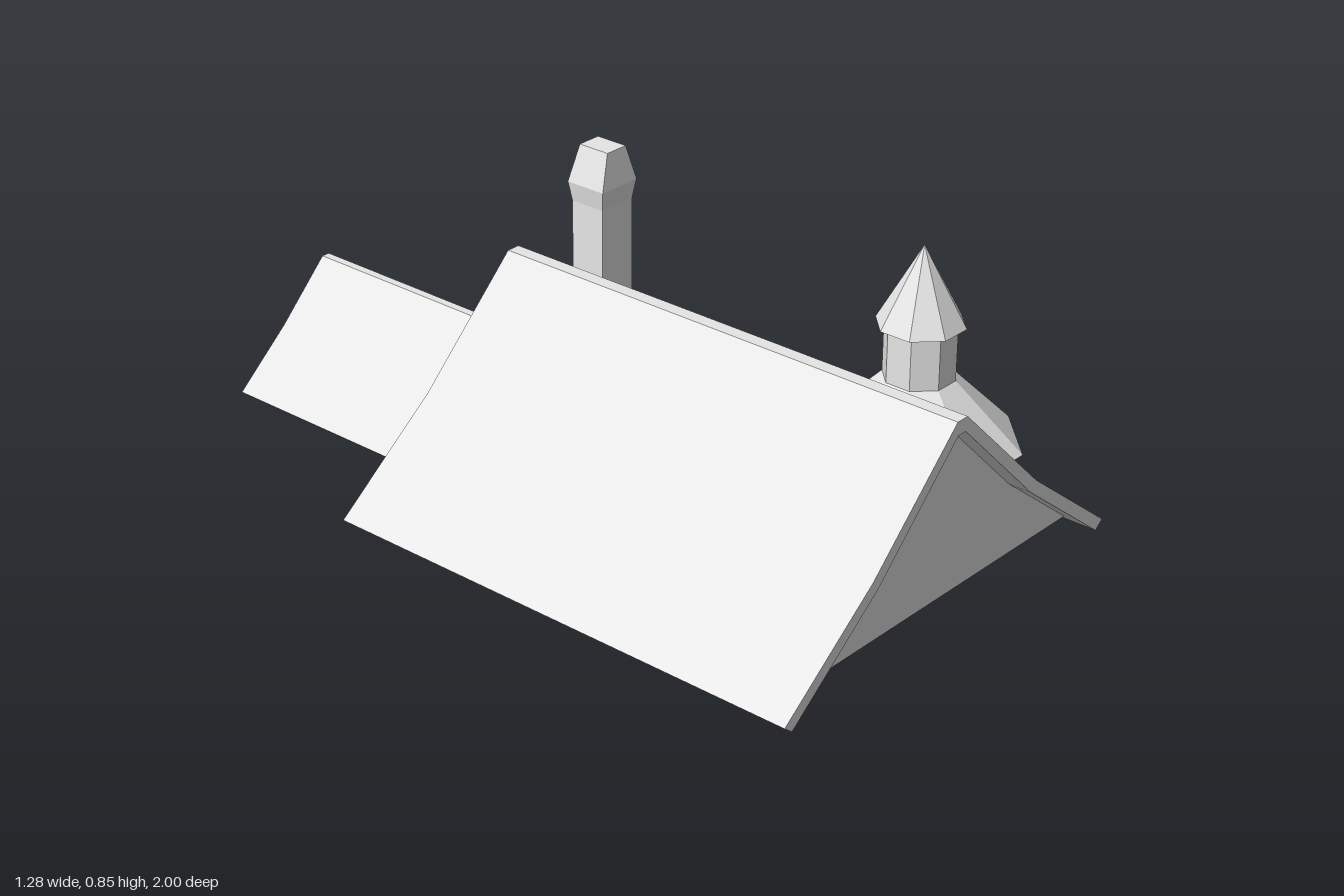
import * as THREE from 'three';

const RIDGE_X = -0.0465;
const TOWER = { x: 0.398, z: 0.56 };

export function createModel() {
  const model = new THREE.Group();
  model.name = 'house';
  const plaster = new THREE.MeshStandardMaterial({ color: 0xe6e6e6, side: THREE.DoubleSide });
  plaster.name = 'plainGrey';

  const add = (name, geometry) => {
    const flat = geometry.index ? geometry.toNonIndexed() : geometry;
    flat.computeVertexNormals();
    const mesh = new THREE.Mesh(flat, plaster);
    mesh.name = name;
    model.add(mesh);
    return mesh;
  };
  const fromArrays = (verts, faces) => {
    const geometry = new THREE.BufferGeometry();
    geometry.setAttribute('position', new THREE.Float32BufferAttribute(verts, 3));
    return geometry.setIndex(faces);
  };
  const mirror = (half) => half.map(([x, y]) => [-x, y]).reverse();

  // Folded sheet: half profile mirrored about the ridge and run along z
  const sheet = (name, half, zBack, zFront) => {
    const verts = [];
    const faces = [];
    [...half, ...mirror(half)].forEach(([x, y], i) => {
      verts.push(x + RIDGE_X, y, zBack, x + RIDGE_X, y, zFront);
      const a = 2 * (i - 1);
      if (i > 0) faces.push(a, a + 2, a + 3, a, a + 3, a + 1);
    });
    add(name, fromArrays(verts, faces));
  };
  // Flat panel facing the front, or the back when turned
  const panel = (name, pts, z, turned) => {
    const shape = new THREE.Shape(pts.map(([x, y]) => new THREE.Vector2(x, y)));
    const geometry = new THREE.ShapeGeometry(shape);
    if (turned) geometry.rotateY(Math.PI);
    add(name, geometry.translate(RIDGE_X, 0, z));
  };

  // Main roof: bent sheet with eaves folded under into short lips
  const outer = [[0.5935, 0.062], [0.302, 0.287], [0.018, 0.562]];
  const inner = [[0.013, 0.527], [0.284, 0.262], [0.568, 0.042]];
  const lipEnd = [0.523, 0.077];
  sheet('mainRoof', [lipEnd, inner[2], ...outer], -0.333, 1);

  // Rear roof: smaller sheet of the same kind with open ends
  sheet('rearRoof', [[0.257, 0.068], [0.285, 0.042], [0.3085, 0.062], [0.155, 0.195], [0.011, 0.34]],
    -1, -0.27);

  // Both ends: verge board, overhang soffit and recessed gable wall
  const verge = [...outer, ...mirror(outer), ...mirror(inner), ...inner];
  const gableHalf = [lipEnd, inner[1], inner[0]];
  const gable = [...gableHalf, ...mirror(gableHalf)];
  for (const [end, zEdge, zWall] of [['front', 1, 0.94], ['rear', -0.333, -0.272]]) {
    const turned = end === 'rear';
    panel(end + 'Verge', verge, zEdge, turned);
    sheet(end + 'Soffit', gableHalf, Math.max(zEdge, zWall), Math.min(zEdge, zWall));
    panel(end + 'Gable', gable, zWall, turned);
  }

  // Octagonal tower stages, sized by the distance from axis to flat side
  const stage = (name, topR, bottomR, y0, y1, open = true) => {
    const k = 1 / Math.cos(Math.PI / 8);
    const geometry = new THREE.CylinderGeometry(topR * k, bottomR * k, y1 - y0, 8, 1, open, Math.PI / 8);
    geometry.translate(TOWER.x, (y0 + y1) / 2, TOWER.z);
    return add(name, geometry);
  };
  const base = stage('towerBase', 0.204, 0.204, 0, 0.181);
  stage('towerSkirt', 0.083, 0.24, 0.181, 0.35);
  stage('towerNeck', 0.083, 0.083, 0.35, 0.49);
  stage('towerSpire', 0, 0.102, 0.488, 0.69, false);

  // Slant the tower base away beneath the roof
  const p = base.geometry.attributes.position;
  for (let i = 0; i < p.count; i++) {
    if (p.getY(i) < 0.01) p.setY(i, THREE.MathUtils.clamp((0.482 - p.getX(i)) * 1.2, 0, 0.18));
  }
  base.geometry.computeVertexNormals();

  // Floor of the part of the tower outside the eaves
  const floor = [];
  for (const [x, z] of [[0.482, -0.204], [0.602, -0.0845], [0.602, 0.0845], [0.482, 0.204]]) {
    floor.push(x, 0, TOWER.z + z);
  }
  add('towerFloor', fromArrays(floor, [0, 1, 2, 0, 2, 3]));

  // Chimney rings: x0, x1, z0, z1, y
  const rings = [
    [-0.01, 0.142, -0.205, -0.08, 0.405],
    [0.01, 0.116, -0.19, -0.095, 0.458],
    [0.01, 0.116, -0.19, -0.095, 0.71],
    [0.002, 0.122, -0.197, -0.086, 0.76],
    [0.031, 0.095, -0.184, -0.097, 0.85],
  ];
  const verts = [];
  const faces = [];
  rings.forEach(([x0, x1, z0, z1, y], r) => {
    verts.push(x0, y, z1, x1, y, z1, x1, y, z0, x0, y, z0);
    for (let i = 0; r > 0 && i < 4; i++) {
      const a = (r - 1) * 4 + i, b = (r - 1) * 4 + (i + 1) % 4;
      faces.push(a, b, b + 4, a, b + 4, a + 4);
    }
  });
  const t = (rings.length - 1) * 4;
  faces.push(t, t + 1, t + 2, t, t + 2, t + 3);
  add('chimney', fromArrays(verts, faces));

  return model;
}
